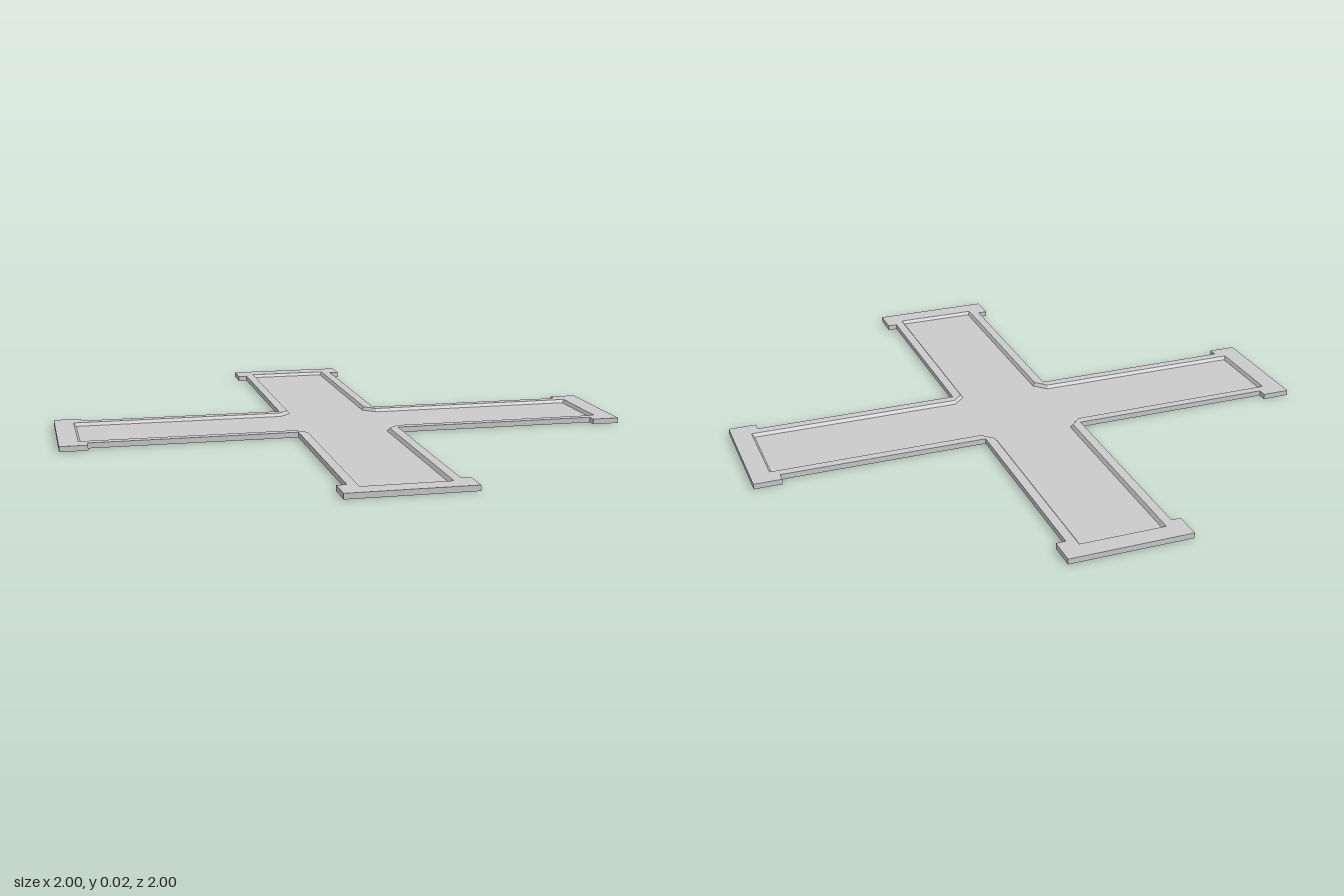
import * as THREE from 'three';

const HEIGHT = 0.022, FLOOR = 0.009;
const material = new THREE.MeshStandardMaterial({ color: 0xcccccc, flatShading: true });

// Repeat one arm's outline on four diagonals, giving a counter-clockwise loop
function crossOutline(arm) {
  const loop = [];
  for (let i = 0; i < 4; i++) {
    const angle = Math.PI / 4 + i * Math.PI / 2;
    for (const [u, v] of arm) {
      loop.push(new THREE.Vector2(u, v).rotateAround(new THREE.Vector2(), angle));
    }
  }
  return loop;
}

// Pocket outline with chamfered inner corners, shrunk by an inset
function pocketOutline(inset) {
  const half = 0.172 - inset, end = 1.088 - inset, start = 0.216 - 0.414 * inset;
  return crossOutline([[start, -half], [end, -half], [end, half], [start, half]]);
}

// Horizontal face at height y
function face(name, outline, y, hole, down = false) {
  const shape = new THREE.Shape(outline);
  if (hole) shape.holes.push(new THREE.Path(hole));
  const geometry = new THREE.ShapeGeometry(shape);
  geometry.rotateX(-Math.PI / 2);
  if (down) {
    const index = geometry.index.array;
    for (let i = 0; i < index.length; i += 3) {
      [index[i], index[i + 1]] = [index[i + 1], index[i]];
    }
    geometry.computeVertexNormals();
  }
  geometry.translate(0, y, 0);
  const mesh = new THREE.Mesh(geometry, material);
  mesh.name = name;
  return mesh;
}

// Band of flat walls joining two matching loops
function walls(name, loopA, yA, loopB, yB) {
  const positions = [];
  const n = loopA.length;
  for (let i = 0; i < n; i++) {
    const j = (i + 1) % n;
    const a = [loopA[i].x, yA, -loopA[i].y], b = [loopA[j].x, yA, -loopA[j].y];
    const c = [loopB[j].x, yB, -loopB[j].y], d = [loopB[i].x, yB, -loopB[i].y];
    positions.push(...a, ...b, ...c, ...a, ...c, ...d);
  }
  const geometry = new THREE.BufferGeometry();
  geometry.setAttribute('position', new THREE.Float32BufferAttribute(positions, 3));
  geometry.computeVertexNormals();
  const mesh = new THREE.Mesh(geometry, material);
  mesh.name = name;
  return mesh;
}

export function createModel() {
  const group = new THREE.Group();
  group.name = 'crossTray';

  // Straight arms ending in slightly wider end plates
  const arm = 0.209, capStart = 1.054, cap = 0.2475, end = 1.1667;
  const outer = crossOutline([
    [arm, -arm], [capStart, -arm], [capStart, -cap], [end, -cap],
    [end, cap], [capStart, cap], [capStart, arm],
  ]);
  const pocketTop = pocketOutline(0);
  const pocketFloor = pocketOutline(0.01);

  group.add(
    face('underside', outer, 0, null, true),
    walls('outerWalls', outer, 0, outer, HEIGHT),
    face('rim', outer, HEIGHT, pocketTop),
    walls('pocketWalls', pocketTop, HEIGHT, pocketFloor, FLOOR),
    face('pocketFloor', pocketFloor, FLOOR),
  );
  return group;
}
